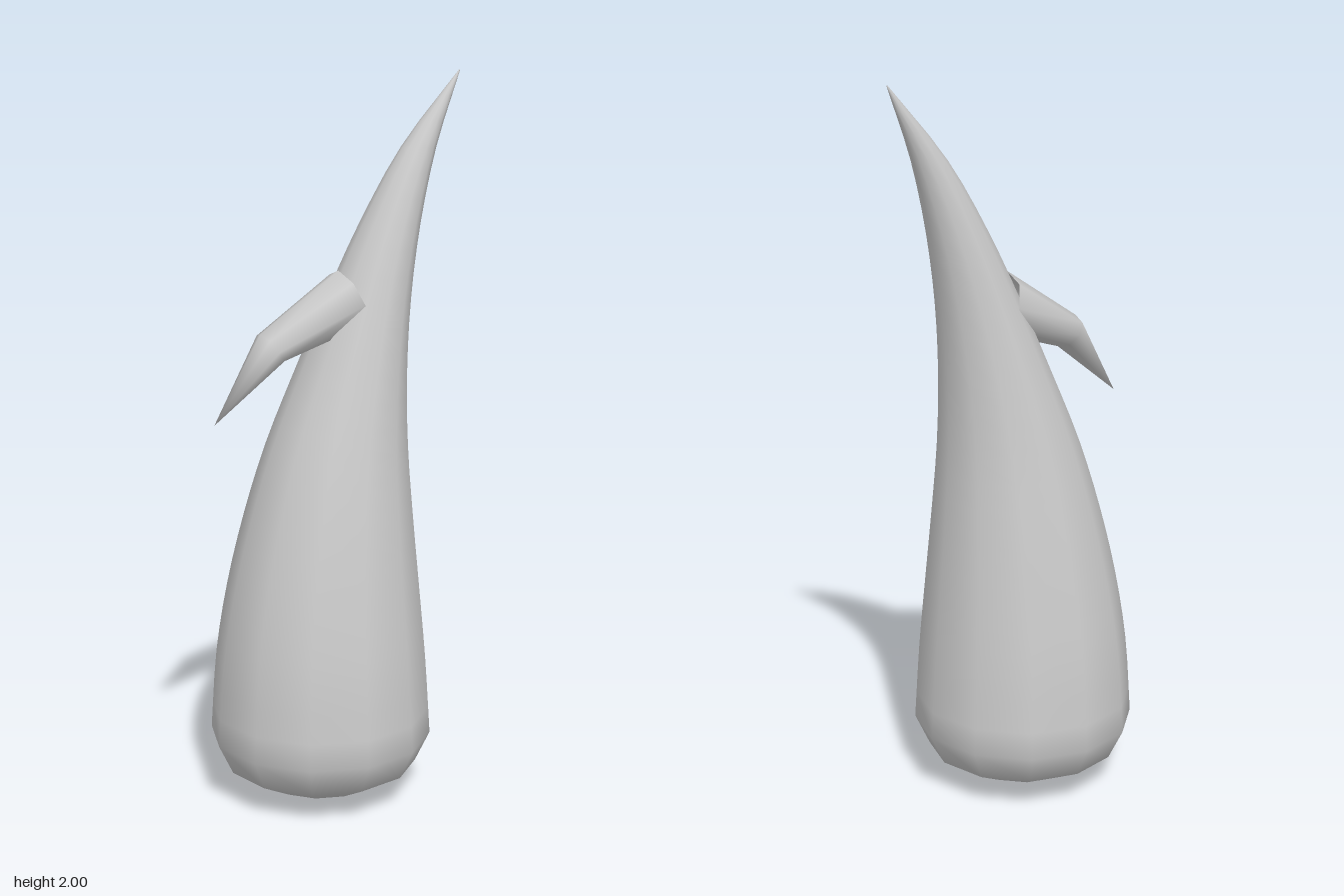
import * as THREE from 'three';
import { mergeVertices } from 'three/addons/utils/BufferGeometryUtils.js';

// Skins a row of cross-sections [centreX, centreY, axisX, axisY, halfWidthZ]
function loft(sections, sides) {
  const pos = [], index = [];
  sections.forEach(([cx, cy, ux, uy, w], i) => {
    for (let j = 0; j < sides; j++) {
      const t = (j / sides) * Math.PI * 2;
      pos.push(cx + ux * Math.cos(t), cy + uy * Math.cos(t), -w * Math.sin(t));
      if (i === 0) continue;
      const k = (j + 1) % sides, lo = (i - 1) * sides, hi = i * sides;
      index.push(lo + j, lo + k, hi + j, lo + k, hi + k, hi + j);
    }
  });
  let geometry = new THREE.BufferGeometry();
  geometry.setAttribute('position', new THREE.Float32BufferAttribute(pos, 3));
  geometry.setIndex(index);
  geometry = mergeVertices(geometry);
  geometry.computeVertexNormals();
  return geometry;
}

export function createModel() {
  const group = new THREE.Group();
  const grey = new THREE.MeshStandardMaterial({ color: 0xcccccc, side: THREE.DoubleSide });
  grey.name = 'light grey';

  // Rounded underside
  const sections = [[0, 0], [0.155, 0.03], [0.268, 0.09]]
    .map(([r, y]) => [-0.056, y, r, 0, r]);

  // Curved, tapering body: [y, left x, right x, half depth]
  const profile = [
    [0.175, -0.365, 0.252, 0.31], [0.4, -0.348, 0.237, 0.295], [0.6, -0.315, 0.22, 0.268],
    [0.8, -0.265, 0.203, 0.235], [1.0, -0.2, 0.19, 0.197], [1.2, -0.115, 0.19, 0.158],
    [1.4, -0.025, 0.205, 0.12], [1.6, 0.073, 0.237, 0.084], [1.8, 0.192, 0.288, 0.046],
    [2.0, 0.36, 0.364, 0.001],
  ];
  const curve = (f) => new THREE.CatmullRomCurve3(profile.map(f));
  const outline = curve(([y, l, r]) => new THREE.Vector3(l, y, r));
  const depth = curve(([y, , , d]) => new THREE.Vector3(d, y, 0));
  const steps = 27;
  for (let i = 0; i <= steps; i++) {
    const p = outline.getPoint(i / steps), d = depth.getPoint(i / steps).x;
    sections.push([(p.x + p.z) / 2, p.y, (p.z - p.x) / 2, 0, d]);
  }
  const body = new THREE.Mesh(loft(sections, 12), grey);
  body.name = 'body';
  group.add(body);

  // Drooping pointed spike, its open root sunk into the body
  const spike = new THREE.Mesh(loft([
    [0.03, 1.4, -0.03, 0.08, 0.105],
    [-0.2, 1.285, -0.03, 0.04, 0.062],
    [-0.365, 1.09, 0, 0, 0],
  ], 8), grey);
  spike.name = 'spike';
  group.add(spike);

  return group;
}
